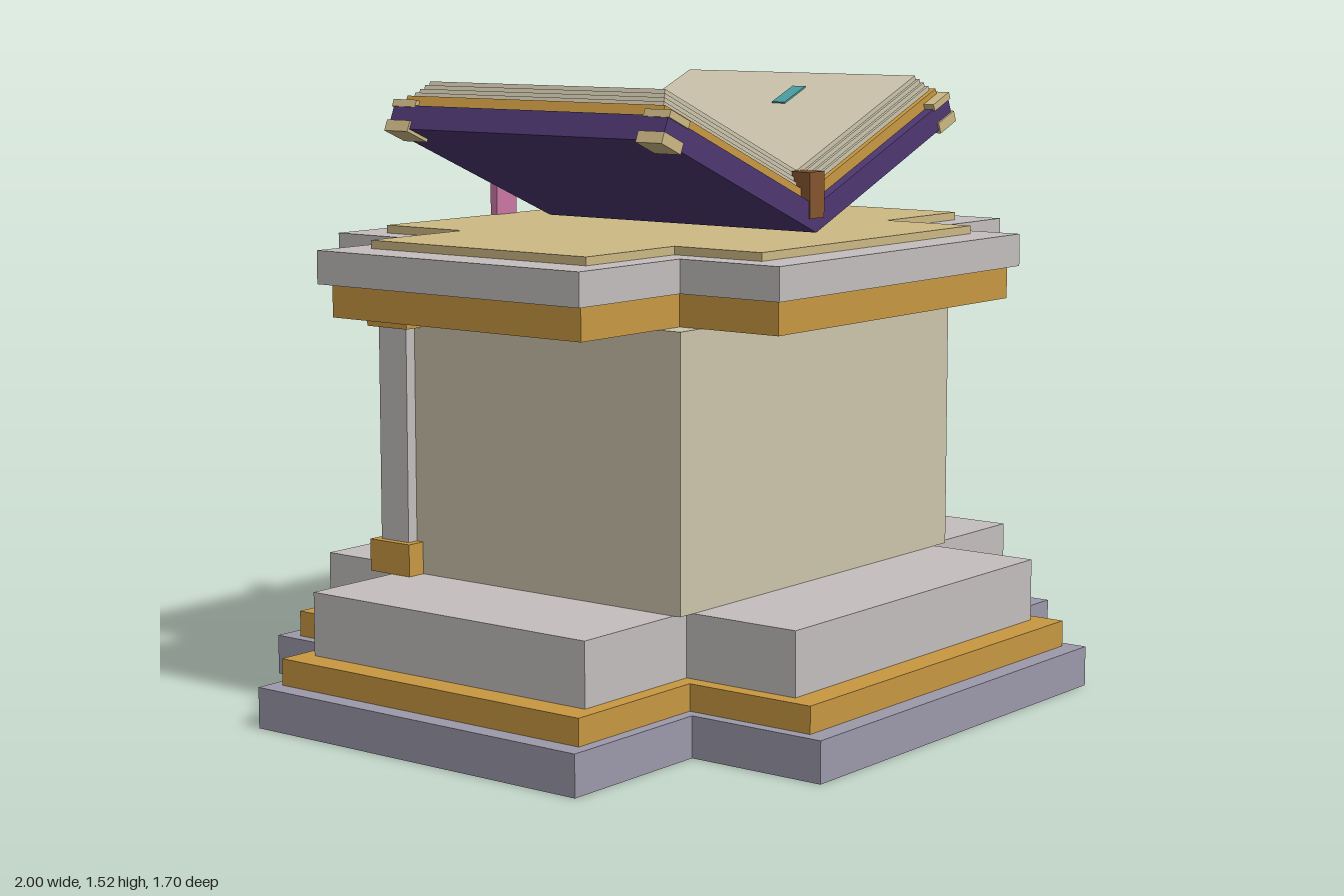
import * as THREE from 'three';

const mat = (name, color) => {
  const m = new THREE.MeshStandardMaterial({ color });
  m.name = name;
  return m;
};

export function createModel() {
  const root = new THREE.Group();
  root.name = 'bookPedestal';

  const slate = mat('slate', 0x9c9aaa);
  const gold = mat('gold', 0xc89842);
  const stone = mat('paleStone', 0xc4bfbe);
  const cream = mat('cream', 0xcdc4ac);
  const tan = mat('tan', 0xcdb985);
  const purple = mat('purple', 0x4e3872);
  const brown = mat('brown', 0x85552f);
  const pink = mat('pink', 0xcc78a3);
  const teal = mat('teal', 0x4a9fa0);

  const add = (parent, name, geometry, material) => {
    const mesh = new THREE.Mesh(geometry, material);
    mesh.name = name;
    parent.add(mesh);
    return mesh;
  };
  // Box given by its lower and upper limits
  const box = (parent, name, material, x0, x1, y0, y1, z0, z1) => {
    const g = new THREE.BoxGeometry(x1 - x0, y1 - y0, z1 - z0);
    g.translate((x0 + x1) / 2, (y0 + y1) / 2, (z0 + z1) / 2);
    return add(parent, name, g, material);
  };
  const extrude = (points, depth) => new THREE.ExtrudeGeometry(
    new THREE.Shape(points.map(([x, y]) => new THREE.Vector2(x, y))),
    { depth, bevelEnabled: false });
  // Plus-shaped outline: one arm reaches a (half width d), the other reaches c (half width b)
  const plus = (a, b, c, d) => [
    [a, -d], [a, d], [b, d], [b, c], [-b, c], [-b, d],
    [-a, d], [-a, -d], [-b, -d], [-b, -c], [b, -c], [b, -d],
  ];

  // Cross-shaped plinth and table tiers
  const tiers = [
    ['baseSlab', slate, 0, 0.1, 1.0, 0.58, 0.85, 0.49],
    ['baseTrim', gold, 0.1, 0.165, 0.95, 0.55, 0.8, 0.46],
    ['baseStep', stone, 0.165, 0.32, 0.88, 0.51, 0.73, 0.42],
    ['tableTrim', gold, 0.98, 1.06, 0.84, 0.485, 0.66, 0.38],
    ['tableSlab', stone, 1.06, 1.14, 0.87, 0.51, 0.68, 0.4],
    ['tableInlay', tan, 1.14, 1.16, 0.76, 0.44, 0.58, 0.33],
  ];
  for (const [name, m, y0, y1, ...sizes] of tiers) {
    const g = extrude(plus(...sizes), y1 - y0);
    g.rotateX(-Math.PI / 2);
    add(root, name, g, m).position.y = y0;
  }
  box(root, 'body', cream, -0.56, 0.56, 0.32, 0.98, -0.44, 0.44);

  // Rear corner pillars
  for (const s of [-1, 1]) {
    const pillar = new THREE.Group();
    pillar.name = s > 0 ? 'leftPillar' : 'rightPillar';
    pillar.position.set(s * 0.545, 0, -0.425);
    root.add(pillar);
    const block = (name, m, r, y0, y1) => box(pillar, name, m, -r, r, y0, y1, -r, r);
    block('shaft', stone, 0.045, 0.4, 0.93);
    block('foot', gold, 0.065, 0.32, 0.4);
    block('capital', gold, 0.065, 0.93, 1.0);
    block('capitalPlate', tan, 0.045, 1.0, 1.004);
    block('footPlate', tan, 0.045, 0.316, 0.32);
  }

  // Rear panel with paw relief
  box(root, 'panelFrame', brown, -0.42, 0.42, 0.43, 0.94, -0.475, -0.44);
  box(root, 'panel', purple, -0.38, 0.38, 0.47, 0.9, -0.5, -0.465);
  const paw = new THREE.Group();
  paw.name = 'pawRelief';
  root.add(paw);
  const pad = (name, x, y, ...sizes) =>
    add(paw, name, extrude(plus(...sizes), 0.035), tan).position.set(x, y, -0.54);
  pad('mainPad', 0, 0.605, 0.105, 0.065, 0.085, 0.045);
  for (const s of [-1, 1]) {
    pad('outerToe', s * 0.16, 0.69, 0.05, 0.027, 0.05, 0.027);
    pad('innerToe', s * 0.062, 0.762, 0.048, 0.027, 0.048, 0.027);
  }

  // Open book: each half is a stack of slabs mitred at the fold
  const tilt = Math.PI / 8;
  const book = new THREE.Group();
  book.name = 'openBook';
  book.position.y = 1.165;
  root.add(book);

  const bookHalf = (name, turn, marks) => {
    const side = new THREE.Group();
    side.name = name;
    side.rotation.y = turn;
    book.add(side);
    const half = new THREE.Group();
    half.name = 'tiltedHalf';
    half.rotation.z = tilt;
    side.add(half);
    const slab = (part, m, u, n0, n1, z) => {
      const t = Math.tan(tilt);
      const g = extrude([[n0 * t, n0], [u, n0], [u, n1], [n1 * t, n1]], 2 * z);
      add(half, part, g, m).position.z = -z;
    };
    slab('cover', purple, 0.65, 0, 0.06, 0.42);
    slab('coverLining', gold, 0.64, 0.06, 0.088, 0.395);
    for (let i = 0; i < 4; i++) {
      slab('pages', cream, 0.63 - i * 0.006, 0.088 + i * 0.012, 0.1 + i * 0.012, 0.382 - i * 0.007);
    }
    // Metal corner plates under and over the cover
    for (const s of [-1, 1]) {
      const z0 = s > 0 ? 0.35 : -0.425;
      box(half, 'lowerCorner', tan, 0.58, 0.656, -0.008, 0.02, z0, z0 + 0.075);
      box(half, 'upperCorner', tan, 0.575, 0.652, 0.056, 0.074, z0, z0 + 0.075);
    }
    // Page marks
    for (const [x, z] of marks) {
      const u = (x + 0.136 * Math.sin(tilt)) / Math.cos(tilt);
      box(half, 'pageMark', teal, u - 0.049, u + 0.049, 0.135, 0.14, z - 0.02, z + 0.02);
    }
  };
  bookHalf('leftHalf', 0, [[0.135, -0.2], [0.385, 0.06]]);
  bookHalf('rightHalf', Math.PI, [[0.4, 0.2], [0.155, -0.06]]);
  box(root, 'spine', brown, -0.03, 0.03, 1.2, 1.312, -0.418, 0.422);

  // Ribbon bookmark lying in the fold and hanging behind
  box(root, 'ribbon', pink, -0.038, 0.038, 1.3, 1.32, -0.59, 0.01);
  box(root, 'ribbonTail', pink, -0.038, 0.038, 1.14, 1.3, -0.59, -0.568);

  return root;
}
